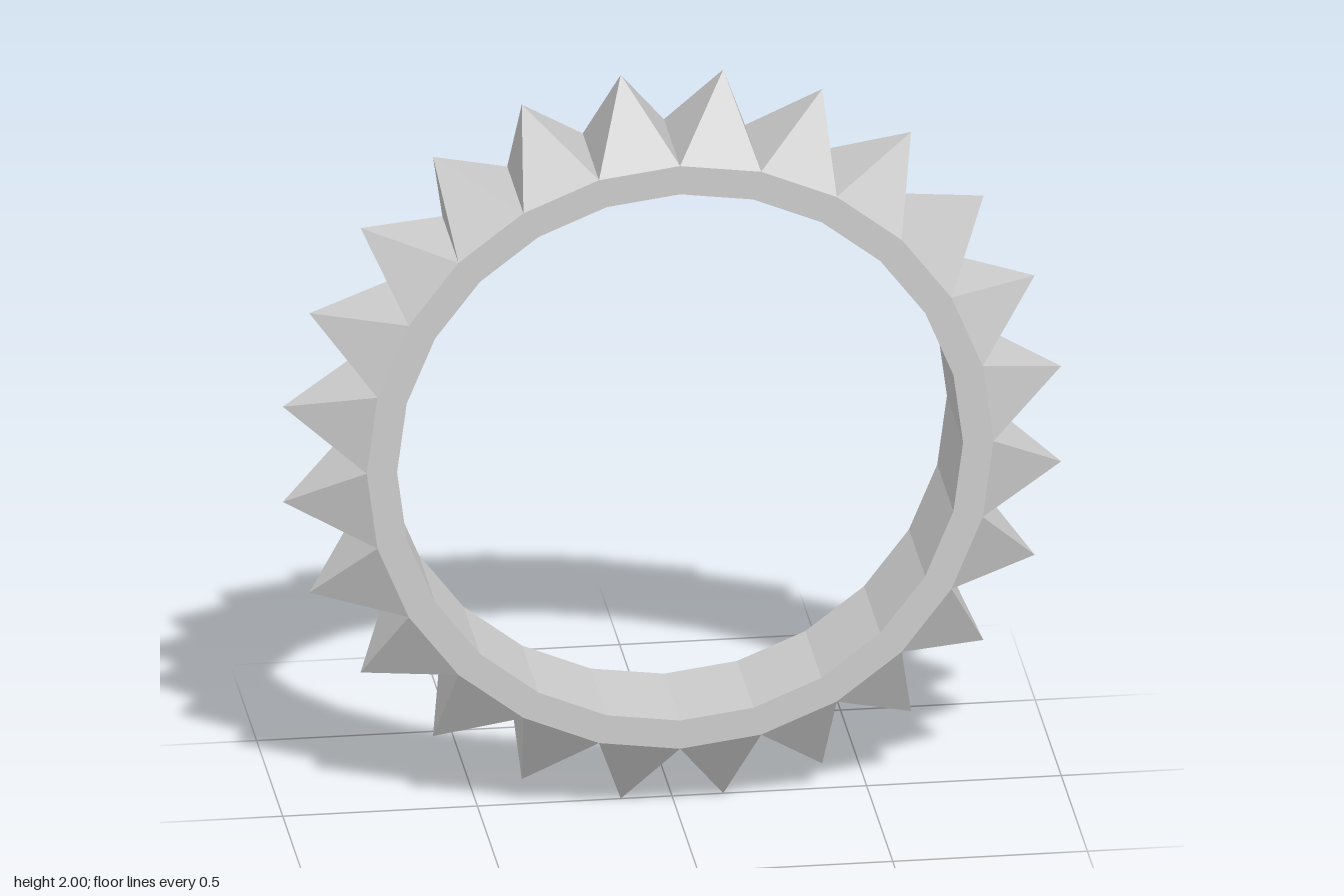
import * as THREE from 'three';

const SIDES = 24, STEP = (Math.PI * 2) / SIDES;
const OUTER = 0.805, INNER = 0.727, TIP = 1.0086, DEPTH = 0.31;

// Corners of the regular polygon used for the band
function polygon(radius) {
  return Array.from({ length: SIDES }, (_, i) =>
    new THREE.Vector2(radius * Math.cos(i * STEP), radius * Math.sin(i * STEP)));
}

export function createModel() {
  const model = new THREE.Group();
  model.name = 'spikedRing';
  const material = new THREE.MeshStandardMaterial({ color: 0xcccccc, flatShading: true });

  // Flat-sided band
  const profile = new THREE.Shape(polygon(OUTER));
  profile.holes.push(new THREE.Path(polygon(INNER)));
  const bandGeometry = new THREE.ExtrudeGeometry(profile, { depth: DEPTH, bevelEnabled: false });
  bandGeometry.translate(0, 0, -DEPTH / 2);
  const band = new THREE.Mesh(bandGeometry, material);
  band.name = 'band';
  model.add(band);

  // Four-sided spike filling one outer facet of the band
  const base = OUTER * Math.cos(STEP / 2);
  const width = 2 * OUTER * Math.sin(STEP / 2);
  const height = TIP - base;
  const spikeGeometry = new THREE.ConeGeometry(Math.SQRT1_2, 1, 4, 1, true, Math.PI / 4);
  spikeGeometry.scale(width, height, DEPTH);
  spikeGeometry.translate(0, base + height / 2, 0);

  const spikes = new THREE.Group();
  spikes.name = 'spikes';
  for (let i = 0; i < SIDES; i++) {
    const spike = new THREE.Mesh(spikeGeometry, material);
    spike.name = 'spike' + (i + 1);
    spike.rotation.z = (i + 0.5) * STEP;
    spikes.add(spike);
  }
  model.add(spikes);

  // Stand the ring on the ground
  model.position.y = TIP * Math.cos(STEP / 2);
  return model;
}
